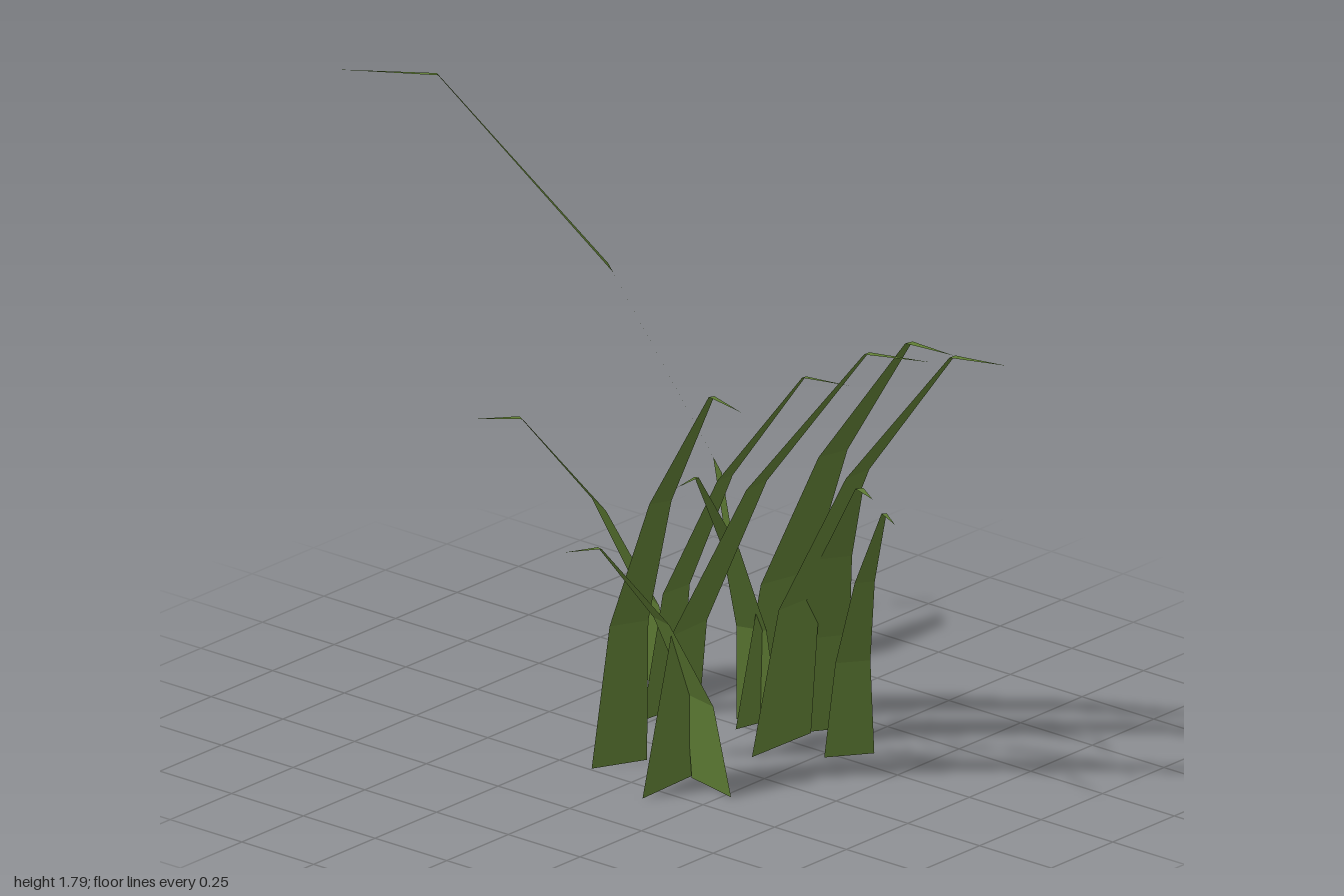
import * as THREE from 'three';

// Shared blade profile for a height of 1: [forward lean, height, width factor]
const PROFILE = [
  [0, 0, 1],
  [0.049, 0.329, 0.7],
  [0.21, 0.654, 0.4],
  [0.471, 0.981, 0.1],
  [0.623, 1, 0],
];

// Each blade: root x, root z, tip x, tip z, height, root width
const BLADES = [
  [-0.295, -0.577, -0.985, 0.3, 1.79, 0.167],
  [-0.365, -0.3, -0.605, 0.175, 0.857, 0.237],
  [0.185, 0.14, 0.075, 0.62, 0.78, 0.175],
  [-0.11, 0.17, 0.62, 0.52, 1.285, 0.16],
  [0.095, 0.21, 0.98, 0.175, 1.42, 0.22],
  [-0.265, -0.182, 0.433, -0.135, 1.122, 0.145],
  [0.31, -0.275, 0.74, 0.04, 0.857, 0.136],
  [0.13, -0.355, 0.57, -0.065, 0.857, 0.22],
  [0.125, -0.215, 0.925, -0.2, 1.285, 0.235],
  [-0.015, -0.34, 0.765, -0.165, 1.285, 0.24],
  [-0.03, -0.3, 0.125, 0.21, 0.857, 0.125],
];

// Flat tapering strip that leans along +z and ends in a point
function bladeGeometry(height, width) {
  const positions = [];
  const index = [];
  PROFILE.forEach(([lean, y, w], i) => {
    const half = (w * width) / 2;
    positions.push(-half, y * height, lean * height, half, y * height, lean * height);
    if (i === 0) return;
    const a = (i - 1) * 2;
    index.push(a, a + 1, a + 2);
    if (w > 0) index.push(a + 1, a + 3, a + 2);
  });
  const geometry = new THREE.BufferGeometry();
  geometry.setAttribute('position', new THREE.Float32BufferAttribute(positions, 3));
  geometry.setIndex(index);
  geometry.computeVertexNormals();
  return geometry;
}

export function createModel() {
  const group = new THREE.Group();
  group.name = 'grassTuft';
  const green = new THREE.MeshStandardMaterial({
    name: 'grassGreen', color: 0x5f7d34, flatShading: true, side: THREE.DoubleSide,
  });

  // Blades turned so that each leans from its root towards its tip
  BLADES.forEach(([x, z, tipX, tipZ, height, width], i) => {
    const blade = new THREE.Mesh(bladeGeometry(height, width), green);
    blade.name = `grassBlade${i + 1}`;
    blade.position.set(x, 0, z);
    blade.rotation.y = Math.atan2(tipX - x, tipZ - z);
    group.add(blade);
  });
  return group;
}
